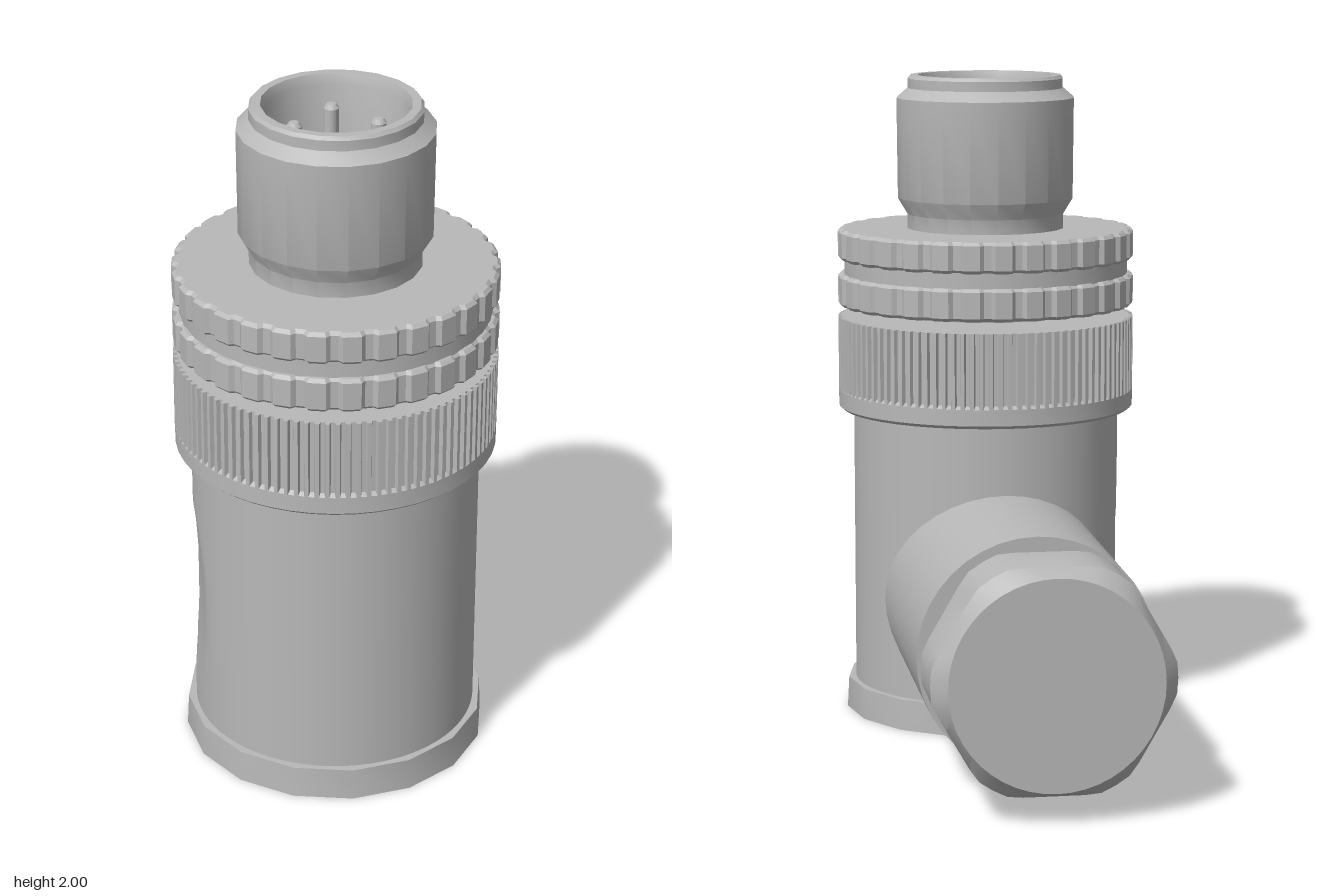
import * as THREE from 'three';
import { toCreasedNormals } from 'three/addons/utils/BufferGeometryUtils.js';

const grey = new THREE.MeshStandardMaterial({ color: 0xb8b8b8 });
grey.name = 'grey';

function add(parent, name, geometry) {
  const mesh = new THREE.Mesh(geometry, grey);
  mesh.name = name;
  parent.add(mesh);
  return mesh;
}

// Turned part from [radius, height] pairs, with an optional rule moving each vertex
function turned(profile, segments = 32, rule = null) {
  const geo = new THREE.LatheGeometry(profile.map(([r, y]) => new THREE.Vector2(r, y)), segments);
  if (rule) {
    const p = geo.attributes.position;
    const v = new THREE.Vector3();
    for (let i = 0; i < p.count; i++) {
      rule(v.fromBufferAttribute(p, i));
      p.setXYZ(i, v.x, v.y, v.z);
    }
  }
  return toCreasedNormals(geo, 0.55);
}

// Toothed ring standing between two heights
function knurled(teeth, outer, inner, duty, y0, y1, bevel) {
  const points = [];
  const edge = 0.12;
  for (let i = 0; i < teeth; i++) {
    for (const [t, r] of [[0, inner], [edge, outer], [duty, outer], [duty + edge, inner]]) {
      const a = ((i + t) / teeth) * Math.PI * 2;
      points.push(new THREE.Vector2(Math.cos(a) * r, Math.sin(a) * r));
    }
  }
  const geo = new THREE.ExtrudeGeometry(new THREE.Shape(points), {
    depth: y1 - y0 - 2 * bevel, bevelEnabled: bevel > 0, bevelThickness: bevel,
    bevelSize: bevel, bevelOffset: -bevel, bevelSegments: 1,
  });
  geo.rotateX(-Math.PI / 2);
  geo.translate(0, y0 + bevel, 0);
  return geo;
}

export function createModel() {
  const model = new THREE.Group();
  model.name = 'angledConnector';

  // Upright half
  const upright = new THREE.Group();
  upright.name = 'uprightBody';
  upright.position.z = 0.46;
  model.add(upright);

  add(upright, 'baseCap', turned([[0, 0], [0.445, 0], [0.44, 0.095], [0, 0.095]], 16));

  // Housing with a shallow oval flat on one side
  const wall = [[0, 0.09]];
  for (let i = 0; i <= 28; i++) wall.push([0.415, 0.09 + (0.88 * i) / 28]);
  add(upright, 'housing', turned(wall, 96, (v) => {
    const dip = 0.022 * (1 - ((v.y - 0.465) / 0.3) ** 2);
    if (dip > 0) v.x = Math.max(v.x, -0.415 + dip);
  }));

  // Collar and fine knurled sleeve
  add(upright, 'collar', turned([[0, 0.96], [0.45, 0.96], [0.462, 0.97], [0.462, 1.02], [0.45, 1.03], [0, 1.03]], 48));
  add(upright, 'knurledSleeve', knurled(100, 0.462, 0.45, 0.5, 1.02, 1.25, 0));
  add(upright, 'neck', turned([[0.21, 1.24], [0.22, 1.3]], 24));

  // Locking nut: two ribbed rims with a groove between
  add(upright, 'lowerRim', knurled(30, 0.462, 0.45, 0.65, 1.285, 1.385, 0.01));
  add(upright, 'nutGroove', turned([[0, 1.37], [0.443, 1.37], [0.443, 1.45], [0, 1.45]], 36));
  add(upright, 'upperRim', knurled(30, 0.462, 0.45, 0.65, 1.43, 1.525, 0.01));

  // Hollow plug shell
  add(upright, 'plugShell', turned([
    [0.245, 1.51], [0.245, 1.57], [0.275, 1.62], [0.278, 1.93], [0.243, 1.96],
    [0.243, 1.99], [0.235, 2], [0.21, 2], [0.2, 1.97], [0.2, 1.6], [0, 1.6],
  ], 20));

  // Contact pins and locating key
  for (let i = 0; i < 4; i++) {
    const a = (i * Math.PI) / 2;
    const pin = add(upright, 'contactPin', turned([[0.022, 1.6], [0.022, 1.935], [0.014, 1.947], [0, 1.95]], 12));
    pin.position.set(Math.cos(a) * 0.117, 0, Math.sin(a) * 0.117);
  }
  const key = add(upright, 'locatingKey', turned([[0.035, 1.6], [0.035, 1.96], [0, 1.96]], 12));
  key.position.set(0.125, 0, 0.125);

  // Side outlet, turned about an axis pointing backwards
  const outlet = new THREE.Group();
  outlet.name = 'sideOutlet';
  outlet.position.y = 0.4;
  outlet.rotation.x = -Math.PI / 2;
  model.add(outlet);

  add(outlet, 'barrel', turned([[0.348, -0.4], [0.348, 0.565], [0, 0.565]], 40));
  add(outlet, 'washer', turned([[0.29, 0.56], [0.29, 0.6], [0, 0.6]], 16));
  add(outlet, 'glandNeck', turned([[0.255, 0.59], [0.255, 0.68]], 24));

  // Gland nut: a round blank trimmed by six flats
  add(outlet, 'glandNut', turned(
    [[0, 0.67], [0.348, 0.67], [0.348, 0.875], [0.305, 0.925], [0, 0.925]], 48, (v) => {
      const r = Math.hypot(v.x, v.z);
      if (r < 0.01) return;
      const sector = Math.PI / 3;
      const a = Math.atan2(v.x, v.z) + 2 * Math.PI;
      const off = ((a + sector / 2) % sector) - sector / 2;
      const k = Math.min(1, 0.326 / Math.cos(off) / r);
      v.x *= k;
      v.z *= k;
    }));

  return model;
}
